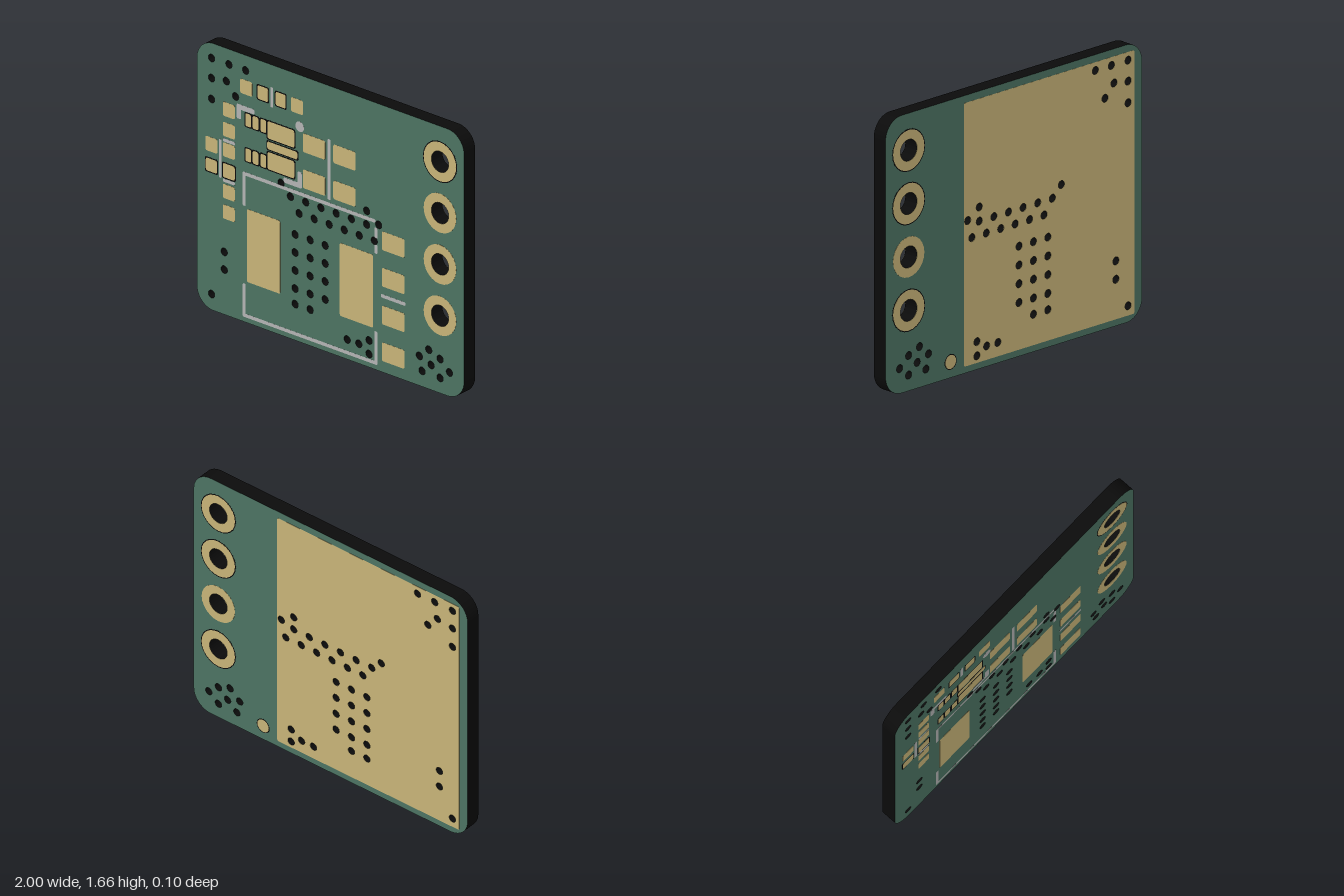
import * as THREE from 'three';

const W = 2, H = 1.665, HALF = 0.048, RIM = 0.0004, PROUD = 0.0008;
const mat = (color) => new THREE.MeshStandardMaterial({ color });
const green = mat(0x4c7362), black = mat(0x0b0b0b), gold = mat(0xc8b478), silk = mat(0xb4b4b4);

// Small plated vias through the board
const vias = [
  [-.89, 1.57], [-.76, 1.57], [-.635, 1.57], [-.89, 1.445], [-.78, 1.46], [-.71, 1.385], [-.89, 1.315],
  [-.37, .95], [.27, .97], [.36, .91], [-.795, .39], [-.795, .28], [-.89, .098],
  [.125, .123], [.212, .123], [.288, .167], [.288, .082],
  [.665, .185], [.735, .245], [.82, .212], [.753, .155], [.685, .098], [.82, .095], [.89, .15],
];
for (let i = 0; i < 6; i++) vias.push([-.3 + i * .114, .885], [-.235 + i * .1125, .8]);
for (let r = 0; r < 5; r++)
  for (let c = 0; c < (r < 4 ? 3 : 2); c++) vias.push([-.265 + c * .1125, r < 4 ? .66 - r * .1125 : .225]);

// Terminal holes down the side
const terminals = [1.443, 1.123, .803, .483].map((y) => [.82, y]);

const VIA_R = .024, HOLE_R = .065, RING_R = .125;

function roundRect(x, y, w, h, r) {
  const s = new THREE.Shape(), a = x - w / 2, b = x + w / 2, c = y - h / 2, d = y + h / 2;
  s.absarc(b - r, c + r, r, -Math.PI / 2, 0);
  s.absarc(b - r, d - r, r, 0, Math.PI / 2);
  s.absarc(a + r, d - r, r, Math.PI / 2, Math.PI);
  s.absarc(a + r, c + r, r, Math.PI, Math.PI * 1.5);
  s.closePath();
  return s;
}

const circle = (x, y, r, Type = THREE.Shape) => new Type().absarc(x, y, r, 0, Math.PI * 2);

function ring(x, y, outer, inner) {
  const s = circle(x, y, outer);
  s.holes.push(circle(x, y, inner, THREE.Path));
  return s;
}

// Thin layer lying on the front (side 1) or back (side -1) face
function layer(name, shapes, material, side, height) {
  const geo = new THREE.ExtrudeGeometry(shapes, { depth: height, bevelEnabled: false, curveSegments: 12 });
  geo.translate(0, 0, side > 0 ? HALF : -HALF - height);
  const mesh = new THREE.Mesh(geo, material);
  mesh.name = name;
  return mesh;
}

export function createModel() {
  const group = new THREE.Group();
  group.name = 'circuitBoard';

  // Board: green faces, black edges and hole walls
  const outline = roundRect(0, H / 2, W, H, .125);
  vias.forEach(([x, y]) => outline.holes.push(circle(x, y, VIA_R, THREE.Path)));
  terminals.forEach(([x, y]) => outline.holes.push(circle(x, y, HOLE_R, THREE.Path)));
  const boardGeo = new THREE.ExtrudeGeometry(outline, { depth: HALF * 2, bevelEnabled: false, curveSegments: 12 });
  boardGeo.translate(0, 0, -HALF);
  const board = new THREE.Mesh(boardGeo, [green, black]);
  board.name = 'board';
  group.add(board);

  // Front pads: [x, y, width, height, dark gap around it]
  const pads = [
    [-.63, 1.465, .09, .09, 0], [-.505, 1.465, .08, .085, 1], [-.372, 1.465, .075, .085, 1], [-.25, 1.465, .09, .09, 0],
    [-.89, 1.03, .09, .09, 0], [-.89, .9, .085, .08, 1],
    [-.37, 1.252, .2, .108, 1], [-.36, 1.155, .225, .048, 1], [-.37, 1.06, .2, .108, 1],
    [-.5, .483, .25, .455, 0], [.195, .483, .25, .455, 0],
  ];
  for (const y of [1.283, 1.157, 1.03, .9, .77, .642]) pads.push([-.76, y, .09, .088, y === .9 ? 1 : 0]);
  for (const y of [1.265, 1.047]) for (const x of [-.615, -.56, -.502]) pads.push([x, y, .043, .08, 1]);
  for (const y of [1.252, 1.027]) for (const x of [-.122, .105]) pads.push([x, y, .167, .117, 0]);
  for (const y of [.82, .593, .357, .128]) pads.push([.47, y, .17, .117, 0]);
  const padShape = ([x, y, w, h], grow = 0) => roundRect(x, y, w + grow, h + grow, .012);
  group.add(layer('frontPads', pads.map((p) => padShape(p)), gold, 1, PROUD));
  group.add(layer('padGaps', pads.filter((p) => p[4]).map((p) => padShape(p, .014)), black, 1, RIM));

  // Ring pads around the terminal holes, on both faces
  for (const side of [1, -1]) {
    group.add(layer('terminalRings', terminals.map(([x, y]) => ring(x, y, RING_R - .003, HOLE_R)), gold, side, PROUD));
    const gaps = terminals.filter((t, i) => (side > 0 ? i === 0 : i !== 2));
    group.add(layer('terminalGaps', gaps.map(([x, y]) => ring(x, y, RING_R + .003, HOLE_R)), black, side, RIM));
  }

  // Copper area and test point on the back
  const copper = roundRect(-.275, .83, 1.33, 1.58, .012);
  vias.filter(([x]) => x < .38).forEach(([x, y]) => copper.holes.push(circle(x, y, VIA_R, THREE.Path)));
  group.add(layer('backCopper', copper, gold, -1, PROUD));
  group.add(layer('testPoint', circle(.493, .095, .042), gold, -1, PROUD));
  group.add(layer('testPointGap', circle(.493, .095, .047), black, -1, RIM));

  // Printed lines on the front: [x1, y1, x2, y2, width]
  const lines = [
    [-.44, 1.41, -.44, 1.515, .02], [-.01, .965, -.01, 1.32, .022],
    [-.685, 1.27, -.685, 1.33, .032], [-.685, 1.33, -.585, 1.33, .032],
    [-.335, .975, -.23, .975, .032], [-.23, .975, -.23, 1.045, .032],
    [-.825, .855, -.825, 1.075, .02], [-.795, 1.088, -.725, 1.088, .02], [-.795, .837, -.725, .837, .02],
    [.39, .475, .55, .475, .022],
    [-.645, .735, -.645, .925, .022], [-.645, .925, .325, .925, .022],
    [.34, .735, .34, .77, .022], [.34, .83, .34, .875, .022],
    [-.645, .228, -.645, .042, .022], [-.645, .042, .34, .042, .022], [.34, .042, .34, .228, .022],
  ];
  const strokes = lines.map(([x1, y1, x2, y2, w]) =>
    roundRect((x1 + x2) / 2, (y1 + y2) / 2, Math.abs(x2 - x1) + w, Math.abs(y2 - y1) + w, w * .3));
  strokes.push(circle(-.23, 1.342, .032));
  group.add(layer('printedLines', strokes, silk, 1, RIM));

  return group;
}
